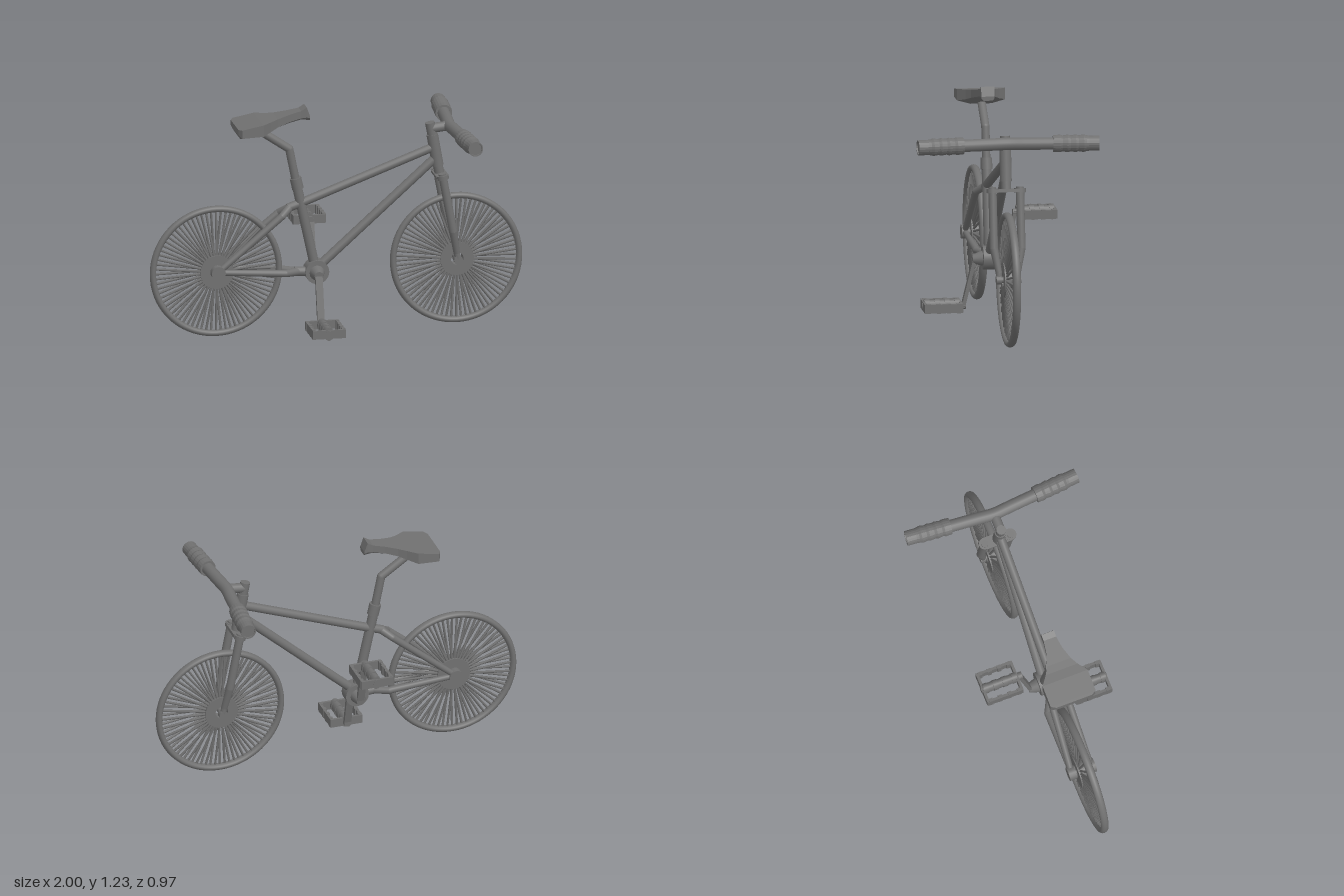
import * as THREE from 'three';
import { mergeGeometries } from 'three/addons/utils/BufferGeometryUtils.js';

const GREY = 0x707070;
const smooth = new THREE.MeshStandardMaterial({ color: GREY });
const flat = new THREE.MeshStandardMaterial({ color: GREY, flatShading: true, side: THREE.DoubleSide });
const V = (x, y, z = 0) => new THREE.Vector3(x, y, z);
const UP = V(0, 1, 0);

function add(parent, name, geometry, material = smooth) {
  const mesh = new THREE.Mesh(geometry, material);
  mesh.name = name;
  parent.add(mesh);
  return mesh;
}

// Cylinder between two points
function rodGeo(a, b, ra, rb = ra, sides = 16) {
  const dir = b.clone().sub(a);
  const g = new THREE.CylinderGeometry(rb, ra, dir.length(), sides);
  g.applyQuaternion(new THREE.Quaternion().setFromUnitVectors(UP, dir.normalize()));
  const m = a.clone().add(b).multiplyScalar(0.5);
  return g.translate(m.x, m.y, m.z);
}
const rod = (p, name, a, b, ra, rb) => add(p, name, rodGeo(a, b, ra, rb));

// Bent pipe: rods with rounded joints
function pipe(p, name, points, radii) {
  const r = (i) => (Array.isArray(radii) ? radii[i] : radii);
  const parts = [];
  points.forEach((q, i) => {
    if (i) parts.push(rodGeo(points[i - 1], q, r(i - 1), r(i)));
    if (i && i < points.length - 1) parts.push(new THREE.SphereGeometry(r(i), 16, 10).translate(q.x, q.y, q.z));
  });
  return add(p, name, mergeGeometries(parts));
}

function box(p, name, w, h, d, x, y, z) {
  return add(p, name, new THREE.BoxGeometry(w, h, d).translate(x, y, z));
}

function lathe(points, sides = 32) {
  return new THREE.LatheGeometry(points.map(([r, y]) => new THREE.Vector2(r, y)), sides);
}

function buildWheel(name, x) {
  const wheel = new THREE.Group();
  wheel.name = name;
  wheel.position.set(x, 0.357, 0);
  add(wheel, 'tyre', new THREE.TorusGeometry(0.338, 0.017, 12, 72).scale(1, 1, 1.25));
  // Spokes lean from alternate hub flanges to the rim
  const spokes = [];
  const count = 76;
  for (let i = 0; i < count; i++) {
    const a = (i / count) * Math.PI * 2;
    const c = Math.cos(a), s = Math.sin(a);
    const z = i % 2 ? 0.02 : -0.02;
    spokes.push(rodGeo(V(c * 0.07, s * 0.07, z), V(c * 0.33, s * 0.33, 0), 0.0064, 0.0064, 6));
  }
  add(wheel, 'spokes', mergeGeometries(spokes));
  // Hub with an open bore
  const hub = lathe([[0.034, -0.03], [0.09, -0.03], [0.09, -0.018], [0.05, -0.014], [0.05, 0.014],
    [0.09, 0.018], [0.09, 0.03], [0.034, 0.03], [0.034, -0.03]]);
  add(wheel, 'hub', hub.rotateX(Math.PI / 2), flat);
  rod(wheel, 'axle', V(0, 0, -0.06), V(0, 0, 0.06), 0.016);
  return wheel;
}

// Lofted saddle; each station is [x, half width, top, edge bottom, keel half width, keel bottom]
function saddleGeo() {
  const stations = [
    [-0.545, 0.1, 1.147, 1.12, 0.07, 1.115], [-0.53, 0.127, 1.15, 1.105, 0.07, 1.09],
    [-0.415, 0.127, 1.172, 1.11, 0.055, 1.09], [-0.365, 0.09, 1.177, 1.125, 0.04, 1.112],
    [-0.325, 0.067, 1.184, 1.14, 0.034, 1.132], [-0.26, 0.045, 1.198, 1.158, 0.026, 1.148],
    [-0.195, 0.035, 1.212, 1.172, 0.024, 1.163], [-0.165, 0.036, 1.23, 1.175, 0.024, 1.16],
    [-0.147, 0.034, 1.18, 1.17, 0.024, 1.158],
  ];
  const pos = [], idx = [], n = 6;
  for (const [x, w, t, e, kw, k] of stations)
    pos.push(x, t, w, x, t, -w, x, e, -w, x, k, -kw, x, k, kw, x, e, w);
  for (let s = 0; s < stations.length - 1; s++)
    for (let i = 0; i < n; i++) {
      const a = s * n + i, b = s * n + ((i + 1) % n);
      idx.push(a, a + n, b, b, a + n, b + n);
    }
  const last = (stations.length - 1) * n;
  for (let i = 1; i < n - 1; i++) idx.push(0, i, i + 1, last, last + i + 1, last + i);
  const g = new THREE.BufferGeometry();
  g.setAttribute('position', new THREE.Float32BufferAttribute(pos, 3));
  g.setIndex(idx);
  g.computeVertexNormals();
  return g;
}

function buildPedal(side) {
  const pedal = new THREE.Group();
  pedal.name = 'pedal';
  const z = side * 0.25;
  // Oval ribbed sleeve around the spindle
  rod(pedal, 'pedalSpindle', V(0, 0, side * 0.125), V(0, 0, side * 0.355), 0.02);
  const sleeve = [rodGeo(V(0, 0, z - 0.095), V(0, 0, z + 0.095), 0.033)];
  for (let i = 0; i < 4; i++) {
    const c = z + (i - 1.5) * 0.053;
    sleeve.push(rodGeo(V(0, 0, c - 0.013), V(0, 0, c + 0.013), 0.037));
  }
  add(pedal, 'pedalSleeve', mergeGeometries(sleeve).scale(0.72, 1, 1));
  // Cage with small grip studs along its sides
  for (const s of [-1, 1]) {
    box(pedal, 'cageSide', 0.014, 0.046, 0.2, s * 0.081, 0, z);
    box(pedal, 'cageEnd', 0.17, 0.046, 0.014, 0, 0, z + s * 0.095);
    for (let i = 0; i < 4; i++)
      box(pedal, 'cageStud', 0.02, 0.05, 0.022, s * 0.079, 0, z + (i - 1.5) * 0.053);
  }
  return pedal;
}

export function createModel() {
  const bike = new THREE.Group();
  bike.name = 'bicycle';
  bike.add(buildWheel('rearWheel', -0.645), buildWheel('frontWheel', 0.643));

  // Main frame
  const frame = new THREE.Group();
  frame.name = 'frame';
  bike.add(frame);
  rod(frame, 'seatTube', V(-0.11, 0.33), V(-0.212, 0.8), 0.026);
  rod(frame, 'seatCollar', V(-0.205, 0.78), V(-0.219, 0.84), 0.031);
  pipe(frame, 'topTube', [V(-0.26, 0.678), V(-0.18, 0.705), V(0.52, 0.965)], 0.023);
  rod(frame, 'downTube', V(-0.1, 0.345), V(0.53, 0.905), 0.024);
  rod(frame, 'headTube', V(0.545, 0.865), V(0.515, 1.035), 0.031);
  rod(frame, 'stemClamp', V(0.516, 1.03), V(0.502, 1.1), 0.026);
  rod(frame, 'bottomBracket', V(-0.108, 0.327, -0.036), V(-0.108, 0.327, 0.036), 0.064);
  rod(frame, 'chainStayYoke', V(-0.12, 0.325), V(-0.225, 0.33), 0.025);
  for (const s of [-1, 1]) {
    const drop = V(-0.645, 0.362, s * 0.055);
    pipe(frame, 'chainStay', [V(-0.2, 0.328, 0), V(-0.28, 0.333, s * 0.045), drop], [0.022, 0.019, 0.015]);
    pipe(frame, 'seatStay', [V(-0.25, 0.68, 0), V(-0.3, 0.645, s * 0.043), drop], [0.022, 0.019, 0.016]);
    rod(frame, 'rearDropout', V(-0.645, 0.36, s * 0.035), V(-0.645, 0.36, s * 0.075), 0.038);
  }

  // Seat
  pipe(bike, 'seatPost', [V(-0.212, 0.8), V(-0.252, 1.0), V(-0.42, 1.115)], 0.022);
  add(bike, 'saddle', saddleGeo(), flat);

  // Fork
  const fork = new THREE.Group();
  fork.name = 'fork';
  bike.add(fork);
  rod(fork, 'steerer', V(0.556, 0.81), V(0.542, 0.88), 0.026);
  const crown = box(fork, 'forkCrown', 0.065, 0.016, 0.15, 0, 0, 0);
  crown.position.set(0.556, 0.818, 0);
  crown.rotation.z = 0.17;
  for (const s of [-1, 1]) {
    rod(fork, 'crownCap', V(0.558, 0.807, s * 0.073), V(0.554, 0.829, s * 0.073), 0.031);
    rod(fork, 'capBolt', V(0.555, 0.825, s * 0.073), V(0.553, 0.837, s * 0.073), 0.02);
    pipe(fork, 'forkLeg', [V(0.556, 0.82, s * 0.073), V(0.612, 0.52, s * 0.073),
      V(0.636, 0.395, s * 0.05), V(0.643, 0.357, s * 0.05)], [0.022, 0.022, 0.017, 0.015]);
    rod(fork, 'frontDropout', V(0.643, 0.357, s * 0.038), V(0.643, 0.357, s * 0.065), 0.024);
  }

  // Handlebar, swept forward at both ends
  const bars = new THREE.Group();
  bars.name = 'handlebar';
  bike.add(bars);
  rod(bars, 'stem', V(0.51, 1.068), V(0.605, 1.078), 0.026);
  const path = new THREE.CatmullRomCurve3([-0.47, -0.25, -0.1, 0, 0.1, 0.25, 0.47]
    .map((z) => V(0.607 + 0.04 * Math.min(1, Math.abs(z) / 0.47), 1.078, z)));
  add(bars, 'bar', new THREE.TubeGeometry(path, 40, 0.033, 16));
  // Grips with shallow tapering ribs
  const profile = [[0.033, 0], [0.044, 0]];
  for (let i = 0; i < 4; i++) profile.push([0.0465, 0.036 + i * 0.042], [0.042, 0.05 + i * 0.042]);
  profile.push([0.04, 0.19], [0.04, 0.243], [0.034, 0.243], [0.033, 0.236], [0, 0.236]);
  for (const s of [-1, 1]) {
    const grip = add(bars, 'grip', lathe(profile, 20), flat);
    grip.position.set(0.628, 1.078, s * 0.238);
    grip.quaternion.setFromUnitVectors(UP, V(0.02, 0, s * 0.24).normalize());
  }

  // Cranks and pedals, opposite each other
  for (const s of [-1, 1]) {
    const crank = new THREE.Group();
    crank.name = s > 0 ? 'leftCrank' : 'rightCrank';
    crank.position.set(-0.11, 0.32, 0);
    bike.add(crank);
    rod(crank, 'crankSpindle', V(0, 0.004, s * 0.03), V(0, 0, s * 0.088), 0.042, 0.024);
    const arm = box(crank, 'crankArm', 0.038, 0.265, 0.019, 0, 0, 0);
    arm.position.set(0, s * -0.126, s * 0.108);
    arm.rotation.x = -0.235;
    const pedal = buildPedal(s);
    pedal.position.y = s * -0.245;
    crank.add(pedal);
  }
  return bike;
}
